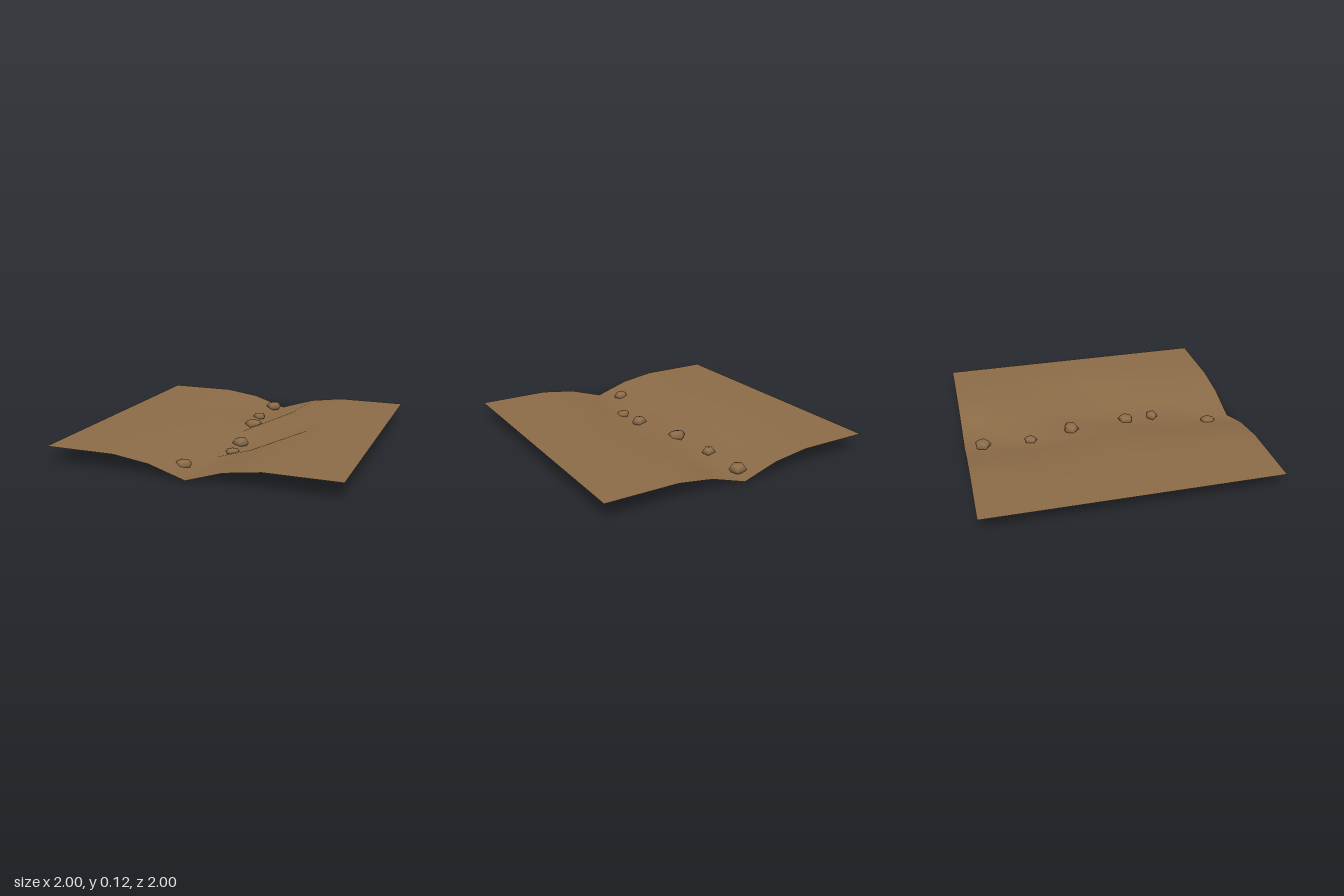
import * as THREE from 'three';

export function createModel() {
  const group = new THREE.Group();
  const earth = new THREE.MeshStandardMaterial({ color: 0x8b6b47, side: THREE.DoubleSide });
  earth.name = 'earth brown';

  // Ground sheet: 8 x 4 grid, with a winding channel down the middle.
  // Each row gives the heights at x = -0.5, -0.25, 0, 0.25, 0.5, from back to front.
  const bank = 0.115;
  const channel = [
    [0.115, 0.08, 0, 0.08, 0.115],
    [0.112, 0.07, 0.005, 0.104, 0.115],
    [0.115, 0.115, 0.05, 0.01, 0.108],
    [0.115, 0.085, 0.003, 0.08, 0.115],
    [0.115, 0.08, 0, 0.08, 0.115],
  ];
  const sheet = new THREE.PlaneGeometry(2, 2, 8, 4).rotateX(-Math.PI / 2);
  const pos = sheet.attributes.position;
  for (let i = 0; i < pos.count; i++) {
    const row = Math.round((pos.getZ(i) + 1) / 0.5);
    const col = Math.round((pos.getX(i) + 0.5) / 0.25);
    pos.setY(i, channel[row][col] ?? bank);
  }
  sheet.computeVertexNormals();
  const ground = new THREE.Mesh(sheet, earth);
  ground.name = 'ground';
  group.add(ground);

  // Five-sided stones along the channel: x, y, z, half width, half depth, turn
  const stones = [
    [-0.04, 0.036, -0.87, 0.064, 0.06, 0.3],
    [-0.05, 0.03, -0.53, 0.051, 0.047, 0.35],
    [0.01, 0.05, -0.22, 0.07, 0.056, 0],
    [0.07, 0.035, 0.21, 0.061, 0.057, 0.55],
    [0.09, 0.026, 0.42, 0.054, 0.045, 0],
    [-0.1, 0.036, 0.8, 0.06, 0.056, 0.4],
  ];
  const stoneGeometry = new THREE.SphereGeometry(1, 5, 4);
  stones.forEach(([x, y, z, w, d, turn], i) => {
    const stone = new THREE.Mesh(stoneGeometry, earth);
    stone.name = `stone${i + 1}`;
    stone.position.set(x, y, z);
    stone.scale.set(w, w * 0.55, d);
    stone.rotation.y = turn;
    group.add(stone);
  });

  return group;
}
